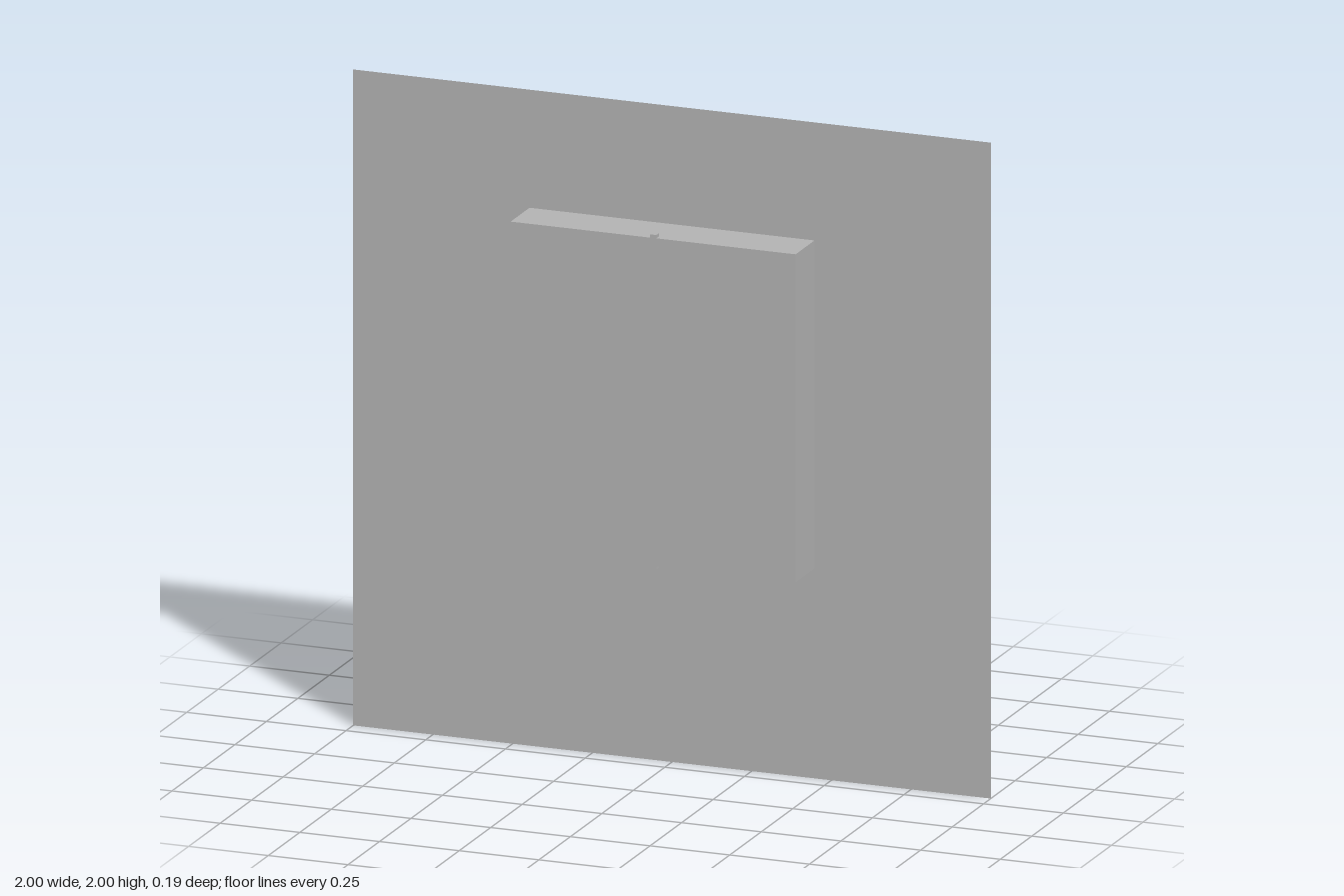
import * as THREE from 'three';

export function createModel() {
  const model = new THREE.Group();
  const grey = new THREE.MeshStandardMaterial({ color: 0xb2b2b2, side: THREE.DoubleSide });
  grey.name = 'plain grey';

  // Opening limits and depths
  const halfW = 0.447, bottom = 0.64, top = 1.64;
  const front = 0.093, wallZ = -0.057, back = -0.093;
  const depth = front - wallZ, midZ = (front + wallZ) / 2;
  const height = top - bottom, midY = (top + bottom) / 2;

  const add = (name, geometry, x, y, z) => {
    const mesh = new THREE.Mesh(geometry, grey);
    mesh.name = name;
    mesh.position.set(x, y, z);
    model.add(mesh);
    return mesh;
  };

  // Thin wall sheet with the window opening cut out
  const rect = (Type, w, y0, y1) => new Type([
    new THREE.Vector2(-w, y0), new THREE.Vector2(w, y0),
    new THREE.Vector2(w, y1), new THREE.Vector2(-w, y1),
  ]);
  const wall = rect(THREE.Shape, 1, 0, 2);
  wall.holes.push(rect(THREE.Path, halfW, bottom, top));
  add('wall', new THREE.ShapeGeometry(wall), 0, 0, wallZ);

  // Window pane closing the recess
  add('pane', new THREE.PlaneGeometry(2 * halfW, height), 0, midY, front);

  // Recess sides and head
  for (const [name, s] of [['leftReveal', 1], ['rightReveal', -1]]) {
    add(name, new THREE.PlaneGeometry(depth, height), s * halfW, midY, midZ).rotation.y = s * Math.PI / 2;
  }
  add('headReveal', new THREE.PlaneGeometry(2 * halfW, depth), 0, top, midZ).rotation.x = -Math.PI / 2;

  // Sill projecting behind the wall
  add('sill', new THREE.BoxGeometry(2 * halfW, 0.042, front - back), 0, bottom + 0.021, 0);

  // Central mullion, slightly taller than the opening
  add('mullion', new THREE.BoxGeometry(0.02, height + 0.02, 0.02), 0, midY, front - 0.01);

  return model;
}
